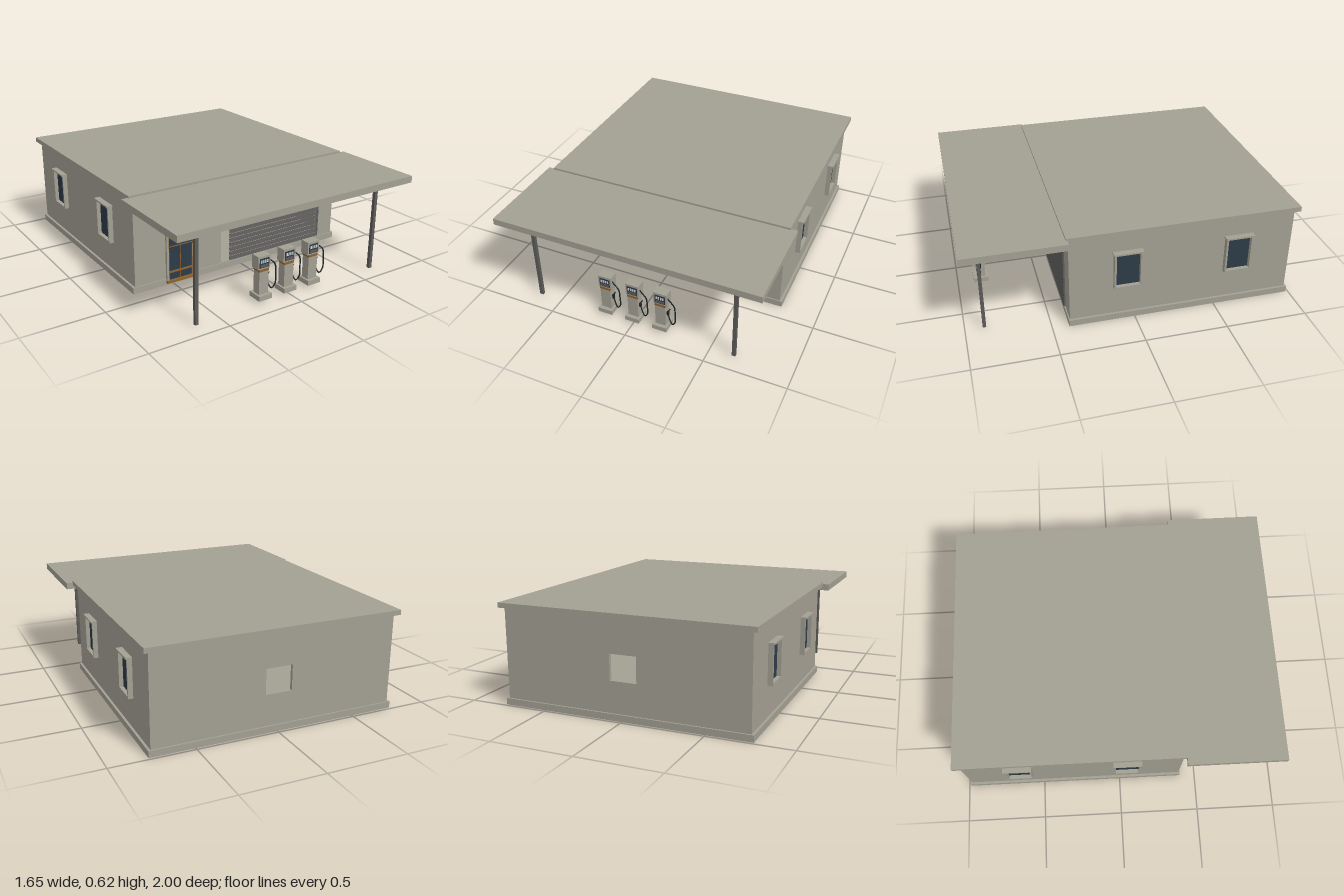
import * as THREE from 'three';

const mat = (name, color) => {
  const m = new THREE.MeshStandardMaterial({ color });
  m.name = name;
  return m;
};

export function createModel() {
  const concrete = mat('concrete', 0xa39f93);
  const steel = mat('dark steel', 0x5c5b5a);
  const glass = mat('dark glass', 0x2d3b47);
  const wood = mat('brown trim', 0x8f6229);
  const rubber = mat('black rubber', 0x1f2528);
  const digit = mat('pale display', 0xd0d5d8);

  const root = new THREE.Group();
  root.name = 'fillingStation';

  const group = (name, parent = root) => {
    const g = new THREE.Group();
    g.name = name;
    parent.add(g);
    return g;
  };
  // Box given by its minimum and maximum corners
  const box = (name, m, x0, x1, y0, y1, z0, z1, parent = root) => {
    const mesh = new THREE.Mesh(new THREE.BoxGeometry(x1 - x0, y1 - y0, z1 - z0), m);
    mesh.position.set((x0 + x1) / 2, (y0 + y1) / 2, (z0 + z1) / 2);
    mesh.name = name;
    parent.add(mesh);
    return mesh;
  };
  // Upright wall slab with rectangular openings, facing +z before placing
  const wall = (name, w, y0, y1, depth, openings) => {
    const s = new THREE.Shape();
    s.moveTo(-w / 2, y0).lineTo(w / 2, y0).lineTo(w / 2, y1).lineTo(-w / 2, y1).closePath();
    for (const [a, b, c, d] of openings) {
      const h = new THREE.Path();
      h.moveTo(a, c).lineTo(a, d).lineTo(b, d).lineTo(b, c).closePath();
      s.holes.push(h);
    }
    const mesh = new THREE.Mesh(new THREE.ExtrudeGeometry(s, { depth, bevelEnabled: false }), concrete);
    mesh.name = name;
    root.add(mesh);
    return mesh;
  };

  // Hollow building
  box('plinth', concrete, -0.77, 0.77, 0, 0.04, -0.985, 0.4);
  wall('frontWall', 1.51, 0.04, 0.59, 0.02, [[-0.545, -0.36, 0.045, 0.5], [-0.15, 0.6, 0.045, 0.5]])
    .position.z = 0.373;
  wall('backWall', 1.51, 0.04, 0.59, 0.02, [[-0.09, 0.075, 0.23, 0.385]]).position.z = -0.975;
  for (const s of [-1, 1]) {
    box('sideWall', concrete, s * 0.745 - 0.01, s * 0.745 + 0.01, 0.04, 0.59, -0.956, 0.374);
  }
  box('roof', concrete, -0.785, 0.785, 0.59, 0.62, -1, 0.41);

  // Canopy over the forecourt
  box('canopy', concrete, -0.825, 0.825, 0.567, 0.608, 0.4, 1);
  for (const x of [-0.645, 0.645]) {
    box('canopyPost', steel, x - 0.011, x + 0.011, 0, 0.567, 0.875, 0.895);
  }

  // Garage shutter: tilted slats with narrow gaps
  const shutter = group('shutter');
  for (let i = 0; i < 13; i++) {
    const y = 0.058 + i * 0.0305;
    box('slat', steel, -0.09, 0.63, y - 0.012, y + 0.012, 0.396, 0.402, shutter).rotation.x = -0.3;
  }
  box('shutterGuide', steel, 0.622, 0.632, 0.045, 0.44, 0.39, 0.402, shutter);

  // Glazed entrance door
  const door = group('door');
  box('doorGlass', glass, -0.535, -0.365, 0.03, 0.44, 0.39, 0.402, door);
  for (const x of [-0.54, -0.36]) {
    box('doorJamb', concrete, x - 0.007, x + 0.007, 0.03, 0.44, 0.385, 0.408, door);
    box('lintelCap', concrete, x - 0.008, x + 0.008, 0.452, 0.462, 0.39, 0.412, door);
  }
  box('doorLintel', wood, -0.55, -0.355, 0.438, 0.452, 0.385, 0.419, door);
  box('doorSill', wood, -0.55, -0.355, 0.015, 0.03, 0.385, 0.419, door);
  for (const y of [0.378, 0.082]) box('doorRail', wood, -0.535, -0.367, y - 0.005, y + 0.005, 0.395, 0.41, door);
  box('glazingBar', wood, -0.533, -0.367, 0.243, 0.247, 0.398, 0.406, door);
  for (const x of [-0.531, -0.452, -0.37]) {
    box('doorStile', wood, x - 0.002, x + 0.002, 0.03, 0.44, 0.398, 0.406, door);
  }

  // Framed windows on both sides
  for (const s of [-1, 1]) {
    for (const z of [0.047, -0.632]) {
      const win = group('sideWindow');
      const part = (name, m, xa, xb, y0, y1, za, zb) =>
        box(name, m, Math.min(s * xa, s * xb), Math.max(s * xa, s * xb), y0, y1, z + za, z + zb, win);
      part('windowGlass', glass, 0.752, 0.76, 0.24, 0.458, -0.075, 0.075);
      part('windowHead', concrete, 0.75, 0.793, 0.46, 0.47, -0.089, 0.089);
      part('windowSill', concrete, 0.75, 0.785, 0.228, 0.24, -0.084, 0.084);
      part('windowJamb', concrete, 0.75, 0.785, 0.24, 0.46, -0.084, -0.072);
      part('windowJamb', concrete, 0.75, 0.785, 0.24, 0.46, 0.072, 0.084);
    }
  }

  // Fuel pumps with hose and nozzle
  const hosePath = new THREE.CatmullRomCurve3([
    [0.04, 0.252, 0.86], [0.06, 0.24, 0.866], [0.086, 0.21, 0.868], [0.091, 0.15, 0.868],
    [0.09, 0.09, 0.868], [0.068, 0.062, 0.864], [0.052, 0.085, 0.858], [0.04, 0.13, 0.855],
  ].map((p) => new THREE.Vector3(...p)));
  const hoseGeometry = new THREE.TubeGeometry(hosePath, 28, 0.0042, 6);
  for (const x of [-0.184, -0.003, 0.177]) {
    const pump = group('fuelPump');
    pump.position.x = x;
    box('pumpBase', concrete, -0.046, 0.046, 0.02, 0.05, 0.807, 0.9, pump);
    box('pumpBody', concrete, -0.033, 0.033, 0.05, 0.192, 0.825, 0.878, pump);
    box('pumpBand', wood, -0.034, 0.034, 0.192, 0.207, 0.824, 0.879, pump);
    box('pumpHead', concrete, -0.042, 0.042, 0.207, 0.288, 0.818, 0.878, pump);
    box('displayPanel', glass, -0.033, 0.033, 0.216, 0.274, 0.877, 0.88, pump);
    box('displayLower', steel, -0.027, 0.027, 0.22, 0.237, 0.879, 0.882, pump);
    for (let i = 0; i < 4; i++) {
      const dx = -0.021 + i * 0.014;
      box('displayDigit', digit, dx - 0.0045, dx + 0.0045, 0.246, 0.264, 0.879, 0.882, pump);
    }
    const hose = new THREE.Mesh(hoseGeometry, rubber);
    hose.name = 'hose';
    pump.add(hose);
    box('nozzle', rubber, 0.034, 0.044, 0.12, 0.148, 0.848, 0.862, pump);
    box('nozzleSpout', rubber, 0.041, 0.048, 0.138, 0.17, 0.85, 0.858, pump).rotation.z = -0.5;
  }

  return root;
}
